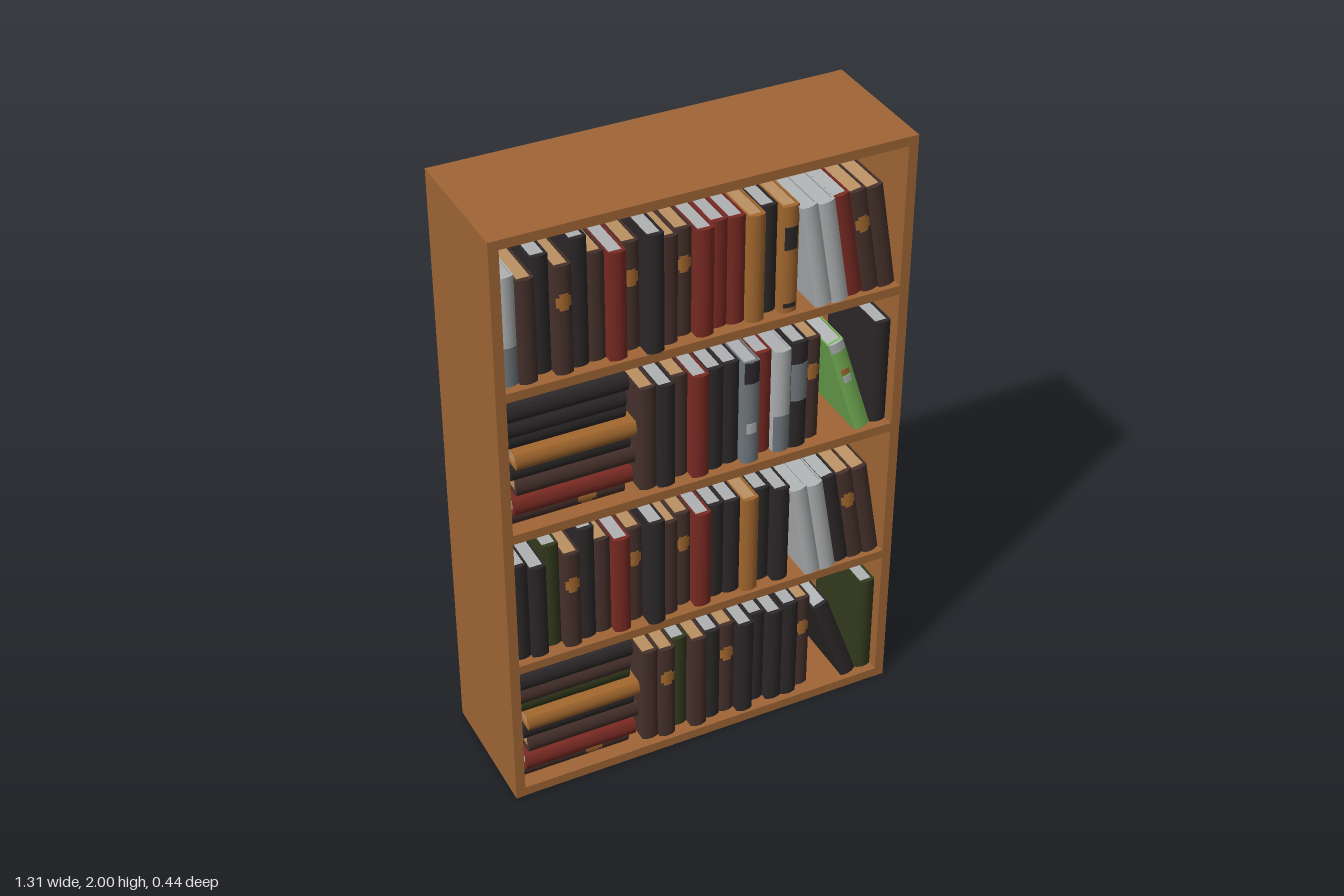
import * as THREE from 'three';

const mat = (name, color) => Object.assign(new THREE.MeshStandardMaterial({ color }), { name });
const M = {
  wood: mat('wood', 0xa06636),
  panel: mat('back panel tan', 0xbb9163),
  black: mat('black cover', 0x2d2829),
  brown: mat('brown cover', 0x46312b),
  red: mat('red cover', 0x7a2a23),
  ochre: mat('ochre cover', 0xa5692f),
  green: mat('dark green cover', 0x333b1d),
  light: mat('pale grey', 0xafb2b3),
  slate: mat('slate grey', 0x70787c),
  lime: mat('light green cover', 0x76b356),
};

// marks: [material, lower and upper fraction of height, fraction of spine width]
const emblem = [['ochre', 0.6, 0.63, 0.5], ['ochre', 0.63, 0.72, 0.85], ['ochre', 0.72, 0.75, 0.5]];
const KINDS = {
  K: { cover: 'black' },
  B: { cover: 'brown', pages: 'panel' },
  b: { cover: 'brown', pages: 'panel', marks: emblem },
  R: { cover: 'red' },
  O: { cover: 'ochre', pages: 'panel' },
  o: { cover: 'ochre', pages: 'panel', marks: [['black', 0.05, 0.09, 0.7], ['black', 0.6, 0.81, 0.75]] },
  G: { cover: 'green' },
  l: { cover: 'light' },
  L: { cover: 'light', marks: [['slate', 0, 0.36, 1]] },
  U: { cover: 'slate', marks: [['black', 0.8, 1, 0.9], ['light', 0.3, 0.4, 0.6]] },
  S: { cover: 'black', marks: [['slate', 0.45, 0.8, 1]] },
  F: { cover: 'lime', marks: [['light', 0.9, 1, 0.9], ['ochre', 0.64, 0.7, 0.5], ['light', 0.55, 0.62, 0.5]] },
};

const DEPTH = 0.28, BULGE = 0.008, BOARD = 0.005;

function add(parent, name, geo, material, x = 0, y = 0, z = 0) {
  const mesh = new THREE.Mesh(geo, material);
  mesh.name = name;
  mesh.position.set(x, y, z);
  parent.add(mesh);
  return mesh;
}

function box(parent, name, material, x0, x1, y0, y1, z0, z1) {
  return add(parent, name, new THREE.BoxGeometry(x1 - x0, y1 - y0, z1 - z0), material,
    (x0 + x1) / 2, (y0 + y1) / 2, (z0 + z1) / 2);
}

// Extrudes a plan outline (x, distance behind the spine) upwards
function upright(shape, h) {
  return new THREE.ExtrudeGeometry(shape, { depth: h, bevelEnabled: false, curveSegments: 8 }).rotateX(-Math.PI / 2);
}

// Book standing on its origin with the rounded spine facing +z
function book(code, t, h) {
  const { cover, pages = 'light', marks = [] } = KINDS[code];
  const g = new THREE.Group();
  g.name = 'book';
  const a = t / 2 - 0.0004, i = a - BOARD;
  const s = new THREE.Shape();
  s.moveTo(-a, DEPTH);
  s.lineTo(-a, BULGE);
  s.quadraticCurveTo(0, -BULGE, a, BULGE);
  s.lineTo(a, DEPTH);
  s.lineTo(i, DEPTH);
  s.lineTo(i, 2 * BULGE);
  s.lineTo(-i, 2 * BULGE);
  s.lineTo(-i, DEPTH);
  s.closePath();
  add(g, 'cover', upright(s, h), M[cover]);
  box(g, 'pages', M[pages], -i, i, 0.006, h - 0.006, 0.008 - DEPTH, -2 * BULGE);
  // painted spine marks follow the spine curve
  for (const [color, y0, y1, k] of marks) {
    const e = BULGE * k * k, m = new THREE.Shape();
    m.moveTo(-a * k, e - 0.0015);
    m.quadraticCurveTo(0, -e - 0.0015, a * k, e - 0.0015);
    m.lineTo(a * k, e + 0.001);
    m.lineTo(-a * k, e + 0.001);
    m.closePath();
    add(g, 'spineMark', upright(m, (y1 - y0) * h), M[color], 0, y0 * h, 0);
  }
  return g;
}

// Slightly uneven spine positions
const spineZ = (n) => 0.19 + 0.018 * Math.sin(n * 2.4);

function standingRow(parent, codes, x0, pitch, base, h, heights = {}, proud = -1) {
  [...codes].forEach((c, n) => {
    const b = book(c, pitch, heights[n] ?? h);
    b.position.set(x0 + pitch * (n + 0.5), base, n === proud ? 0.222 : spineZ(n));
    parent.add(b);
  });
}

// Books leaning to the left of the front view, resting on their lower corner
function leaningRow(parent, codes, x0, base, h, degrees, z) {
  const t = 0.0535, r = THREE.MathUtils.degToRad(degrees);
  [...codes].forEach((c, n) => {
    const b = book(c, t, h);
    b.name = 'leaningBook';
    b.rotation.z = r;
    b.position.set(x0 + n * t / Math.cos(r) + t / 2 * Math.cos(r), base + t / 2 * Math.sin(r), n < 2 ? z : z - 0.015);
    parent.add(b);
  });
}

// Pile of flat books, listed from the bottom up
function pile(parent, codes, base) {
  const starts = [-0.618, -0.607, -0.59, -0.602, -0.595, -0.612, -0.62, -0.612];
  [...codes].forEach((c, n) => {
    const b = book(c, 0.053, 0.372);
    b.name = 'flatBook';
    b.rotation.z = -Math.PI / 2;
    b.position.set(starts[n], base + 0.053 * (n + 0.5), spineZ(n + 2));
    parent.add(b);
  });
}

// One open case: sides, boards at the given heights and a back panel
function bookcase(name, y0, y1, z, boards) {
  const g = new THREE.Group();
  g.name = name;
  const X = 0.653, I = 0.622, Z = 0.219;
  for (const s of [-1, 1]) {
    box(g, 'side', M.wood, s < 0 ? -X : I, s < 0 ? -I : X, y0, y1, -Z, Z);
  }
  for (const [b0, b1] of boards) box(g, 'shelfBoard', M.wood, -I, I, b0, b1, -Z + 0.001, Z - 0.001);
  box(g, 'backPanel', M.panel, -0.643, 0.643, y0 + 0.008, y1 - 0.008, -Z - 0.003, -Z + 0.004);
  g.position.z = z;
  return g;
}

export function createModel() {
  const model = new THREE.Group();
  model.name = 'bookcase';
  model.add(bookcase('lowerCase', 0, 1.018, -0.001, [[0, 0.032], [0.495, 0.525], [0.987, 1.018]]));
  model.add(bookcase('upperCase', 1.018, 2, 0.001, [[1.48, 1.51], [1.97, 2]]));

  const shelf = (name) => {
    const g = new THREE.Group();
    g.name = name;
    model.add(g);
    return g;
  };

  // full rows with leaning books at the right end
  const tall = { 1: 0.335, 2: 0.378, 4: 0.413, 8: 0.384 };
  for (const [name, base, row, lean] of [
    ['topShelfBooks', 1.51, 'LBKbKBRbKBbRRROKo', 'llRbB'],
    ['thirdShelfBooks', 0.525, 'KKGbKBRbKBbRKKOKK', 'llKbB'],
  ]) {
    const g = shelf(name);
    standingRow(g, row, -0.622, 0.0538, base, 0.35, tall, 8);
    leaningRow(g, lean, 0.345, base, 0.347, 9.7, 0.221);
  }

  // rows with a pile at the left and one leaning book
  for (const [name, base, stack, row, lean, h, angle, last] of [
    ['secondShelfBooks', 1.018, 'bRBKOKKK', 'BKBRKKURLSb', 'F', 0.35, 17.6, 'K'],
    ['bottomShelfBooks', 0.032, 'bRBKOGBK', 'BbGBKbKKKKb', 'K', 0.345, 19.6, 'G'],
  ]) {
    const g = shelf(name);
    pile(g, stack, base);
    standingRow(g, row, -0.204, 0.0544, base, 0.356, { 9: 0.372 });
    leaningRow(g, lean, 0.506, base, h, angle, 0.205);
    standingRow(g, last, 0.568, 0.0535, base, 0.356);
  }
  return model;
}
